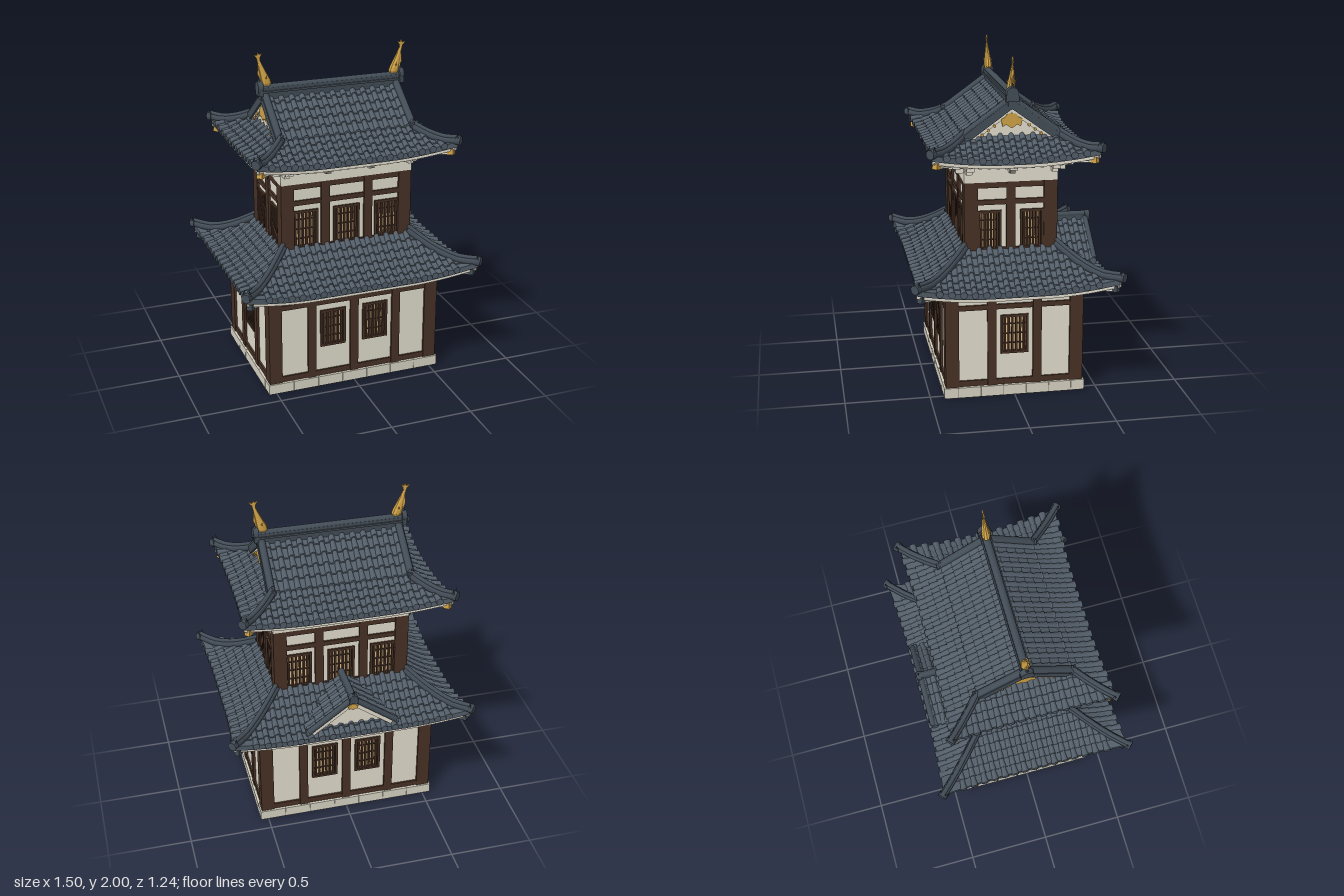
import * as THREE from 'three';
import { mergeGeometries } from 'three/addons/utils/BufferGeometryUtils.js';

const V = (x, y, z) => new THREE.Vector3(x, y, z);
const lerp = THREE.MathUtils.lerp;
const mat = (name, color, side = THREE.FrontSide) => Object.assign(new THREE.MeshStandardMaterial({ color, side }), { name });
const M = {
  tile: mat('slate tile', 0x535e69, THREE.DoubleSide),
  ridge: mat('dark slate', 0x434d57),
  plaster: mat('plaster', 0xe4dfd0, THREE.DoubleSide),
  wood: mat('dark timber', 0x483226),
  paper: mat('paper screen', 0xe6c28e),
  gold: mat('gold', 0xd2a448),
  stone: mat('pale stone', 0xd9d5c5),
  darkStone: mat('dark stone', 0x7d786e),
};

function add(parent, name, geo, m, x = 0, y = 0, z = 0) {
  const mesh = new THREE.Mesh(geo, m);
  mesh.name = name;
  mesh.position.set(x, y, z);
  parent.add(mesh);
  return mesh;
}
const box = (p, name, m, w, h, d, x, y, z) => add(p, name, new THREE.BoxGeometry(w, h, d), m, x, y, z);
function group(parent, name, turn = 0) {
  const g = new THREE.Group();
  g.name = name;
  g.rotation.y = turn * Math.PI / 2;
  parent.add(g);
  return g;
}
// Box stretched between two points
function beam(parent, name, m, a, b, w, h) {
  const mesh = new THREE.Mesh(new THREE.BoxGeometry(w, h, a.distanceTo(b)), m);
  mesh.name = name;
  mesh.position.copy(a).lerp(b, 0.5);
  mesh.lookAt(b);
  parent.add(mesh);
}
const tube = (p, name, m, pts, r) =>
  add(p, name, new THREE.TubeGeometry(new THREE.CatmullRomCurve3(pts), 8, r, 8), m);
// Faceted skin over a list of cross-sections
function loft(rings) {
  const n = rings[0].length, pos = [];
  for (let i = 0; i < rings.length - 1; i++) for (let j = 0; j < n - 1; j++) {
    const a = rings[i][j], b = rings[i][j + 1], c = rings[i + 1][j + 1], d = rings[i + 1][j];
    for (const p of [a, d, c, a, c, b]) pos.push(p.x, p.y, p.z);
  }
  const g = new THREE.BufferGeometry();
  g.setAttribute('position', new THREE.Float32BufferAttribute(pos, 3));
  g.computeVertexNormals();
  return g;
}
function plate(pts, depth, holes = []) {
  const s = new THREE.Shape(pts.map(p => new THREE.Vector2(...p)));
  for (const h of holes) s.holes.push(new THREE.Path(h.map(p => new THREE.Vector2(...p))));
  return new THREE.ExtrudeGeometry(s, { depth, bevelEnabled: false });
}
const rect = (x0, y0, x1, y1) => [[x0, y0], [x1, y0], [x1, y1], [x0, y1]];

// Stepped pan tiles with rounded cover tiles; P(s, t) runs along s and down t
function tiles(parent, P, iL, oL, rows, pitch, count) {
  const rings = [], N = 20;
  const ring = (t, up) => Array.from({ length: N + 1 }, (_, j) => {
    const p = P(lerp(iL, oL, t) * (j / N * 2 - 1), t);
    p.y += up;
    return p;
  });
  for (let i = 0; i < rows; i++) rings.push(ring(i / rows, 0), ring((i + 1) / rows, 0.007));
  rings.push(ring(1, -0.025));
  add(parent, 'pan tiles', loft(rings), M.tile);
  const covers = [];
  for (let k = -count; k <= count; k++) {
    const s = k * pitch, t0 = oL > iL ? Math.max(0, (Math.abs(s) - iL) / (oL - iL)) : 0, rr = [];
    const arc = (t, r) => Array.from({ length: 7 }, (_, j) => {
      const a = Math.PI * (1 - j / 6), p = P(s, t);
      return p.add(V(r * Math.cos(a), r * Math.sin(a) + 0.003, 0));
    });
    for (let i = 0; i < rows; i++) {
      if ((i + 1) / rows <= t0 + 0.01) continue;
      rr.push(arc(Math.max(i / rows, t0), 0.014), arc((i + 1) / rows, 0.02));
    }
    const e = P(s, 1);
    const cap = new THREE.CylinderGeometry(0.021, 0.021, 0.02, 10).toNonIndexed();
    cap.deleteAttribute('uv');
    covers.push(loft(rr), cap.rotateX(Math.PI / 2).translate(e.x, e.y + 0.002, e.z));
  }
  add(parent, 'cover tiles', mergeGeometries(covers), M.tile);
}

// Four-sided sweeping roof with soffit, hip ridges and corner ornaments
function hipRoof(root, o) {
  const roof = group(root, o.name);
  const surface = (oL, iD, oD) => (s, t) => {
    const c = Math.max(0, 1 - (oL - Math.abs(s)) / 0.4) ** 2;
    return V(s + Math.sign(s) * o.flare * c * t, o.y(t) + o.lift * c * t * t, lerp(iD, oD, t) + o.flare * c * t);
  };
  for (let k = 0; k < 4; k++) {
    const [iL, iD, oL, oD, wL, wD] = k % 2 ? [o.iz, o.ix, o.oz, o.ox, o.wz, o.wx] : [o.ix, o.iz, o.ox, o.oz, o.wx, o.wz];
    const side = group(roof, 'roofSide', k), P = surface(oL, iD, oD);
    tiles(side, P, iL, oL, o.rows, 0.0635, Math.floor((oL - 0.055) / 0.0635));
    const row = f => Array.from({ length: 21 }, (_, j) => f(j / 10 - 1));
    add(side, 'eaveSoffit', loft([
      row(u => P(u * oL, 1).add(V(0, -0.02, -0.012))),
      row(u => P(u * oL, 1).add(V(0, -0.045, -0.012))),
      row(u => V(u * wL, o.wy, wD - 0.02)),
    ]), M.plaster);
    if (!o.rafters) continue;
    for (let i = -11; i <= 11; i++) {
      const s = i * 0.05, over = Math.max(0, Math.abs(s) - wL);
      if (Math.abs(s) > oL - 0.04) continue;
      const e = P(s, 1), f = over / (oD - wD);
      beam(side, 'rafter', M.plaster, V(s, lerp(o.wy, e.y - 0.045, f) - 0.004, wD + over), V(e.x, e.y - 0.047, e.z - 0.03), 0.02, 0.014);
    }
  }
  const P = surface(o.ox, o.iz, o.oz);
  for (const sx of [-1, 1]) for (const sz of [-1, 1]) {
    const hip = [0, 0.25, 0.5, 0.75, 1].map(t => P(lerp(o.ix, o.ox, t), t).multiply(V(sx, 1, sz)));
    const lifted = h => hip.map(p => p.clone().add(V(0, h, 0)));
    tube(roof, 'hipRidge', M.ridge, lifted(0.014), 0.024);
    tube(roof, 'hipRidgeCap', M.ridge, lifted(0.036), 0.014);
    // Corner ornament
    const e = hip[4], orn = group(roof, 'cornerOrnament');
    orn.position.copy(e);
    orn.rotation.y = Math.atan2(sx, sz);
    add(orn, 'endDisc', new THREE.CylinderGeometry(0.028, 0.028, 0.03, 10).rotateX(Math.PI / 2), M.ridge, 0, 0.016, 0.004);
    for (const x of [-0.018, 0.018]) add(orn, 'horn', new THREE.ConeGeometry(0.009, 0.034, 5), M.ridge, x, 0.048, 0);
    // Corner rafter with end cap
    const a = V(sx * (o.wx - 0.02), o.wy - 0.015, sz * (o.wz - 0.02)), b = e.clone().add(V(-sx * 0.03, -0.057, -sz * 0.03));
    beam(roof, 'cornerRafter', M.plaster, a, b, 0.03, 0.03);
    beam(roof, 'cornerRafterCap', o.cap, b.clone().lerp(a, 0.06), b.clone().add(V(sx * 0.014, 0.001, sz * 0.014)), 0.034, 0.036);
  }
}

// One timber-framed storey made of four hollow walls
function storey(root, o) {
  const body = group(root, o.name), h = o.y1 - o.y0, cy = (o.y0 + o.y1) / 2;
  for (let k = 0; k < 4; k++) {
    const f = k % 2 ? o.side : o.front;
    const [L, D] = k % 2 ? [o.hz, o.hx] : [o.hx, o.hz];
    const w = group(body, 'wall', k), [b, t] = o.win, hw = f.w / 2;
    add(w, 'plasterPanel', plate(rect(-L + 0.02, o.y0, L - 0.02, o.top), 0.02,
      f.wins.map(x => rect(x - hw + 0.005, b + 0.005, x + hw - 0.005, t - 0.005))), M.plaster, 0, 0, D - 0.035);
    for (const x of f.posts) box(w, 'post', M.wood, 0.052, h, 0.045, x, cy, D - 0.0225);
    for (const [y, bh] of o.beams) box(w, 'beam', M.wood, L * 2 - 0.04, bh, 0.04, 0, y, D - 0.024);
    box(w, 'cornerPost', M.wood, 0.08, h, 0.08, L - 0.04, cy, D - 0.04);
    for (const x of f.wins) {
      const win = group(w, 'window');
      win.position.set(x, (b + t) / 2, D - 0.02);
      const H = t - b;
      box(win, 'screen', M.paper, f.w - 0.01, H - 0.01, 0.006, 0, 0, -0.012);
      for (const s of [-1, 1]) {
        box(win, 'frame', M.wood, 0.014, H, 0.032, s * (hw - 0.007), 0, 0);
        box(win, 'frame', M.wood, f.w, 0.014, 0.032, 0, s * (H / 2 - 0.007), 0);
      }
      const n = 6, p = (f.w - 0.028) / n;
      for (let i = 0; i < n; i++) box(win, 'bar', M.wood, 0.011, H - 0.02, 0.016, (i - (n - 1) / 2) * p, 0, 0.004);
      for (const y of [-0.25, 0, 0.25]) {
        box(win, 'crossBar', M.wood, f.w - 0.02, 0.007, 0.006, 0, y * H, -0.004);
        box(win, 'innerBar', M.wood, f.w - 0.02, 0.007, 0.005, 0, y * H, -0.017);
        box(win, 'innerBar', M.wood, 0.007, H - 0.02, 0.005, y * f.w, 0, -0.017);
      }
    }
  }
}

// Ridge-end ornament facing +z
function ridgeEnd(parent, r) {
  const g = group(parent, 'ridgeEnd');
  add(g, 'endDisc', new THREE.CylinderGeometry(r, r * 1.1, 0.03, 12).rotateX(Math.PI / 2), M.ridge);
  box(g, 'endFoot', M.ridge, r * 2.1, r, 0.026, 0, -r * 0.8, 0);
  add(g, 'endHorn', new THREE.ConeGeometry(r * 0.35, r * 1.1, 6), M.ridge, 0, r * 1.3, 0);
  return g;
}
const pendant = w => plate([[0, -0.5], [0.25, -0.3], [0.42, -0.4], [0.5, 0], [0.3, 0.12], [0.2, 0.3], [-0.2, 0.3], [-0.3, 0.12], [-0.5, 0], [-0.42, -0.4], [-0.25, -0.3]]
  .map(([x, y]) => [x * w, y * w * 0.85]), 0.009);

export function createModel() {
  const root = new THREE.Group();
  root.name = 'castleTower';

  // Stone footing
  const base = group(root, 'footing');
  add(base, 'footingCore', plate(rect(-0.545, -0.415, 0.545, 0.415), 0.06, [rect(-0.465, -0.335, 0.465, 0.335)]).rotateX(-Math.PI / 2), M.darkStone);
  for (let k = 0; k < 4; k++) {
    const [L, D, n] = k % 2 ? [0.339, 0.55, 5] : [0.55, 0.42, 7], side = group(base, 'footingSide', k), w = 2 * L / n;
    for (let i = 0; i < n; i++) box(side, 'stone', M.stone, w - 0.003, 0.06, 0.08, -L + (i + 0.5) * w, 0.036, D - 0.04);
  }

  // Lower and upper storeys
  storey(root, {
    name: 'lowerStorey', hx: 0.54, hz: 0.41, y0: 0.065, y1: 0.65, top: 0.66, win: [0.26, 0.5],
    beams: [[0.085, 0.035], [0.555, 0.03], [0.64, 0.025]],
    front: { w: 0.16, posts: [-0.27, 0, 0.27], wins: [-0.135, 0.135] },
    side: { w: 0.165, posts: [-0.135, 0.135], wins: [0] },
  });
  storey(root, {
    name: 'upperStorey', hx: 0.41, hz: 0.275, y0: 0.82, y1: 1.27, top: 1.28, win: [0.86, 1.1],
    beams: [[0.86, 0.03], [1.15, 0.03], [1.253, 0.035]],
    front: { w: 0.165, posts: [-0.135, 0.135], wins: [-0.262, 0, 0.262] },
    side: { w: 0.14, posts: [0], wins: [-0.125, 0.125] },
  });
  box(root, 'ceiling', M.plaster, 1.04, 0.01, 0.78, 0, 0.645, 0);
  box(root, 'plasterBand', M.plaster, 0.82, 0.14, 0.55, 0, 1.34, 0);

  // Bracket arms under the upper eaves
  for (let k = 0; k < 4; k++) {
    const [L, D, xs] = k % 2 ? [0.275, 0.41, [-0.25, 0, 0.25]] : [0.41, 0.275, [-0.385, -0.135, 0.135, 0.385]];
    const g = group(root, 'eaveBrackets', k);
    box(g, 'purlin', M.plaster, 2 * L + 0.14, 0.02, 0.03, 0, 1.385, D + 0.06);
    for (const x of xs) {
      box(g, 'bracketArm', M.plaster, 0.045, 0.022, 0.09, x, 1.368, D + 0.042);
      box(g, 'bracketFoot', M.plaster, 0.035, 0.028, 0.05, x, 1.344, D + 0.022);
      if (Math.abs(x) < 0.2) box(g, 'bracketEnd', M.darkStone, 0.03, 0.024, 0.006, x, 1.344, D + 0.049);
    }
  }

  // Roofs
  hipRoof(root, {
    name: 'lowerRoof', ix: 0.4, iz: 0.27, ox: 0.69, oz: 0.56, wx: 0.54, wz: 0.41, wy: 0.655, rows: 6,
    y: t => 0.685 + 0.185 * (1 - t) ** 1.35, lift: 0.055, flare: 0.03, cap: M.ridge,
  });
  hipRoof(root, {
    name: 'upperRoof', ix: 0.4, iz: 0.27, ox: 0.585, oz: 0.455, wx: 0.41, wz: 0.275, wy: 1.4, rows: 4, rafters: true,
    y: t => 1.435 + 0.105 * (1 - t) ** 1.2, lift: 0.045, flare: 0.025, cap: M.gold,
  });

  // Gabled top of the upper roof
  const top = group(root, 'gableRoof');
  for (const k of [0, 2]) tiles(group(top, 'gableSlope', k), (s, t) => V(s, 1.735 - 0.195 * t, 0.27 * t), 0.425, 0.425, 5, 0.0635, 6);
  box(top, 'mainRidge', M.ridge, 0.88, 0.075, 0.046, 0, 1.752, 0);
  add(top, 'mainRidgeCap', new THREE.CylinderGeometry(0.024, 0.024, 0.88, 10).rotateZ(Math.PI / 2), M.ridge, 0, 1.782, 0);
  box(top, 'ridgeCourse', M.ridge, 0.87, 0.012, 0.062, 0, 1.765, 0);
  for (const k of [1, 3]) {
    const g = group(top, 'gableEnd', k);
    add(g, 'gablePanel', plate([[-0.27, 1.525], [0.27, 1.525], [0, 1.72]], 0.01), M.plaster, 0, 0, 0.385);
    for (const s of [-1, 1]) {
      const at = (z, x, dy) => V(s * z, 1.735 - 0.195 * z / 0.27 + dy, x);
      beam(g, 'rakeBand', M.ridge, at(0, 0.42, -0.008), at(0.275, 0.42, -0.008), 0.03, 0.045);
      beam(g, 'bargeboard', M.plaster, at(0, 0.413, -0.045), at(0.225, 0.413, -0.045), 0.018, 0.024);
      tube(g, 'rakeRidge', M.ridge, [at(0, 0.41, 0.02), at(0.14, 0.41, 0.02), at(0.285, 0.41, 0.02)], 0.022);
      for (const z of [0.1, 0.135, 0.17]) add(g, 'goldStud', new THREE.CylinderGeometry(0.009, 0.009, 0.008, 8).rotateX(Math.PI / 2), M.gold, s * z, 1.735 - 0.722 * z - 0.06, 0.426);
      const foot = ridgeEnd(g, 0.022);
      foot.position.set(s * 0.285, 1.552, 0.41);
      foot.rotation.y = s * Math.PI / 2;
    }
    add(g, 'gablePendant', pendant(0.125), M.gold, 0, 1.64, 0.418);
    ridgeEnd(g, 0.036).position.set(0, 1.79, 0.442);

    // Gold ridge fish, tail raised outwards
    const fish = group(g, 'ridgeFish');
    const rings = [[1.955, 0.444, 0.008, 0.005], [1.915, 0.432, 0.015, 0.012], [1.87, 0.417, 0.023, 0.019], [1.835, 0.405, 0.03, 0.025], [1.815, 0.4, 0.032, 0.025], [1.8, 0.398, 0.026, 0.02]]
      .map(([y, z, rz, rx]) => Array.from({ length: 11 }, (_, j) => V(rx * Math.sin(j * Math.PI / 5), y, z + rz * Math.cos(j * Math.PI / 5))));
    add(fish, 'fishBody', loft(rings), M.gold);
    add(fish, 'fishTail', plate([[0.436, 1.945], [0.45, 1.94], [0.456, 1.965], [0.474, 1.985], [0.453, 1.982], [0.446, 2], [0.44, 1.985], [0.422, 1.99], [0.434, 1.97]], 0.008).rotateY(-Math.PI / 2), M.gold, 0.004, 0, 0);
    add(fish, 'backFin', plate([[0.43, 1.82], [0.452, 1.87], [0.446, 1.93], [0.43, 1.92]], 0.008).rotateY(-Math.PI / 2), M.gold, 0.004, 0, 0);
    for (const s of [-1, 1]) add(fish, 'sideFin', new THREE.ConeGeometry(0.009, 0.04, 5).rotateZ(-s * 0.5), M.gold, s * 0.022, 1.85, 0.405);
  }

  // Small gable on the back of the lower roof
  const dormer = group(root, 'backGable', 2);
  dormer.position.z = -0.41;
  const half = 0.27, dy = d => 0.915 - 0.2 * d / half;
  for (const k of [1, 3]) tiles(group(dormer, 'dormerSlope', k), (s, t) => V(s, dy(half * t), half * t), 0.135, 0.135, 5, 0.06, 2);
  add(dormer, 'dormerPanel', plate([[-0.26, 0.69], [0.26, 0.69], [0.26, 0.71], [0, 0.9], [-0.26, 0.71]], 0.01), M.plaster, 0, 0, 0.08);
  for (const s of [-1, 1]) {
    beam(dormer, 'dormerBargeboard', M.plaster, V(0, dy(0) - 0.028, 0.122), V(s * 0.25, dy(0.25) - 0.028, 0.122), 0.014, 0.028);
    tube(dormer, 'dormerRake', M.ridge, [V(0, dy(0) + 0.008, 0.13), V(s * 0.13, dy(0.13) + 0.008, 0.13), V(s * 0.265, dy(0.265) + 0.008, 0.13)], 0.018);
  }
  add(dormer, 'dormerPendant', pendant(0.06), M.gold, 0, 0.872, 0.13);
  box(dormer, 'dormerRidge', M.ridge, 0.036, 0.04, 0.28, 0, 0.922, 0);
  add(dormer, 'dormerRidgeCap', new THREE.CylinderGeometry(0.019, 0.019, 0.28, 10).rotateX(Math.PI / 2), M.ridge, 0, 0.938, 0);
  ridgeEnd(dormer, 0.025).position.set(0, 0.935, 0.142);

  return root;
}
